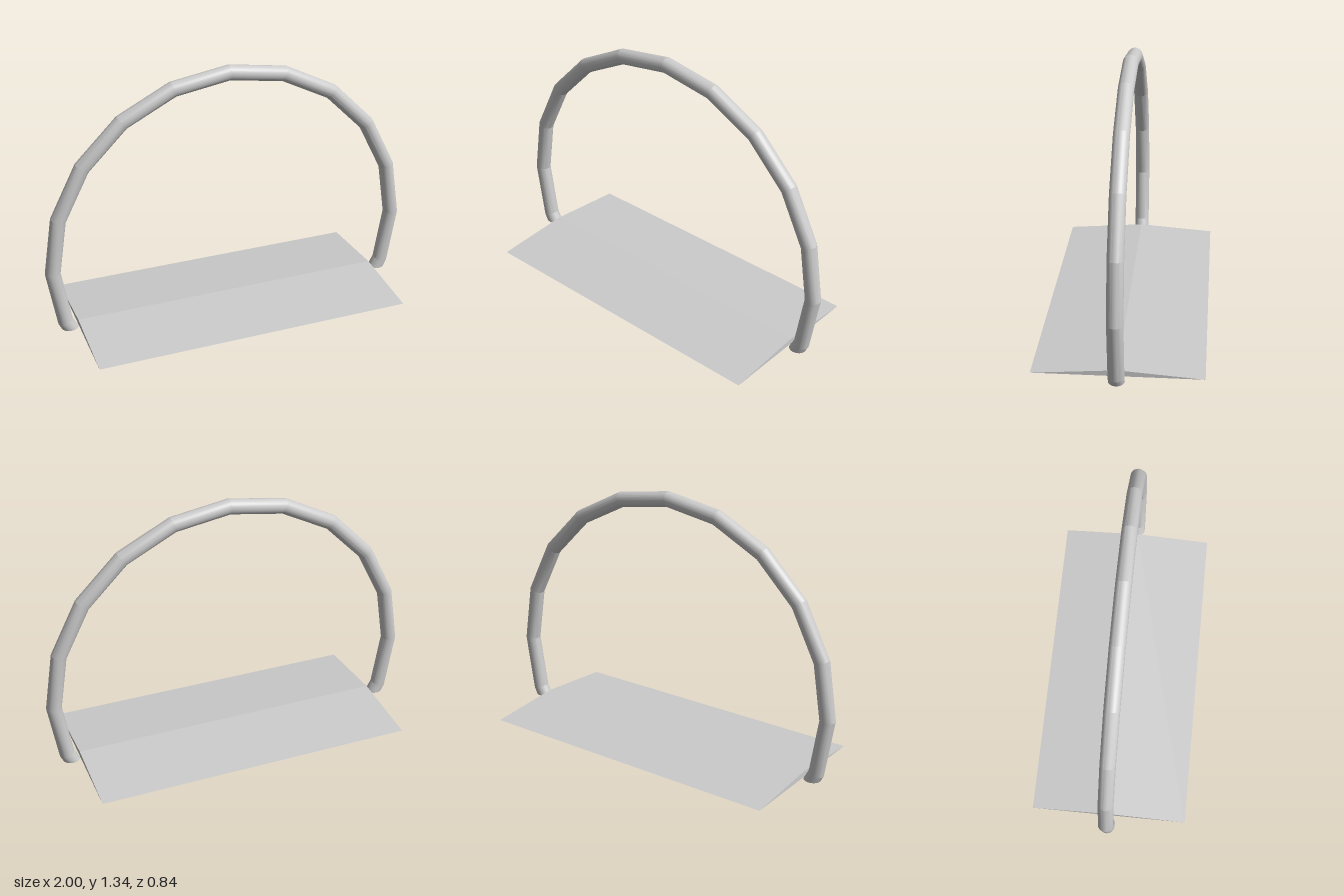
import * as THREE from 'three';
import { toCreasedNormals } from 'three/addons/utils/BufferGeometryUtils.js';

const R = 0.96, TUBE = 0.04, CENTRE_Y = 0.34, SIDES = 24, SEGS = 14;
const STEP = Math.PI / 10; // one side of a 20-sided ring

// Faceted ring arc whose two end segments are trimmed flat on the ground
function archGeometry() {
  const geo = new THREE.TorusGeometry(R, TUBE, SIDES, SEGS, SEGS * STEP);
  geo.rotateZ(-2 * STEP).translate(0, CENTRE_Y, 0);
  const pos = geo.attributes.position;
  const end = new THREE.Vector3(), next = new THREE.Vector3();
  for (let j = 0; j <= SIDES; j++) {
    const row = j * (SEGS + 1);
    for (const [a, b] of [[0, 1], [SEGS, SEGS - 1]]) {
      end.fromBufferAttribute(pos, row + a);
      next.fromBufferAttribute(pos, row + b);
      end.lerp(next, -end.y / (next.y - end.y));
      pos.setXYZ(row + a, end.x, 0, end.z);
    }
  }
  return toCreasedNormals(geo, THREE.MathUtils.degToRad(16.5));
}

export function createModel() {
  const group = new THREE.Group();
  const material = new THREE.MeshStandardMaterial({ color: 0xcccccc });
  const add = (name, geometry) => {
    const mesh = new THREE.Mesh(geometry, material);
    mesh.name = name;
    group.add(mesh);
    return mesh;
  };

  add('arch', archGeometry());

  // Flat feet closing the tube ends
  for (const side of [1, -1]) {
    const foot = new THREE.CircleGeometry(1, SIDES);
    foot.scale(0.0445, TUBE, 1).rotateX(Math.PI / 2);
    add(side > 0 ? 'leftFoot' : 'rightFoot', foot).position.x = side * 0.8905;
  }

  // Low ramp plate with a ridge under the arch
  const profile = new THREE.Shape([
    new THREE.Vector2(-0.42, 0),
    new THREE.Vector2(0.42, 0),
    new THREE.Vector2(0, 0.032),
  ]);
  const plate = new THREE.ExtrudeGeometry(profile, { depth: 1.69, bevelEnabled: false });
  plate.translate(0, 0, -0.845).rotateY(Math.PI / 2);
  add('basePlate', plate);

  return group;
}
